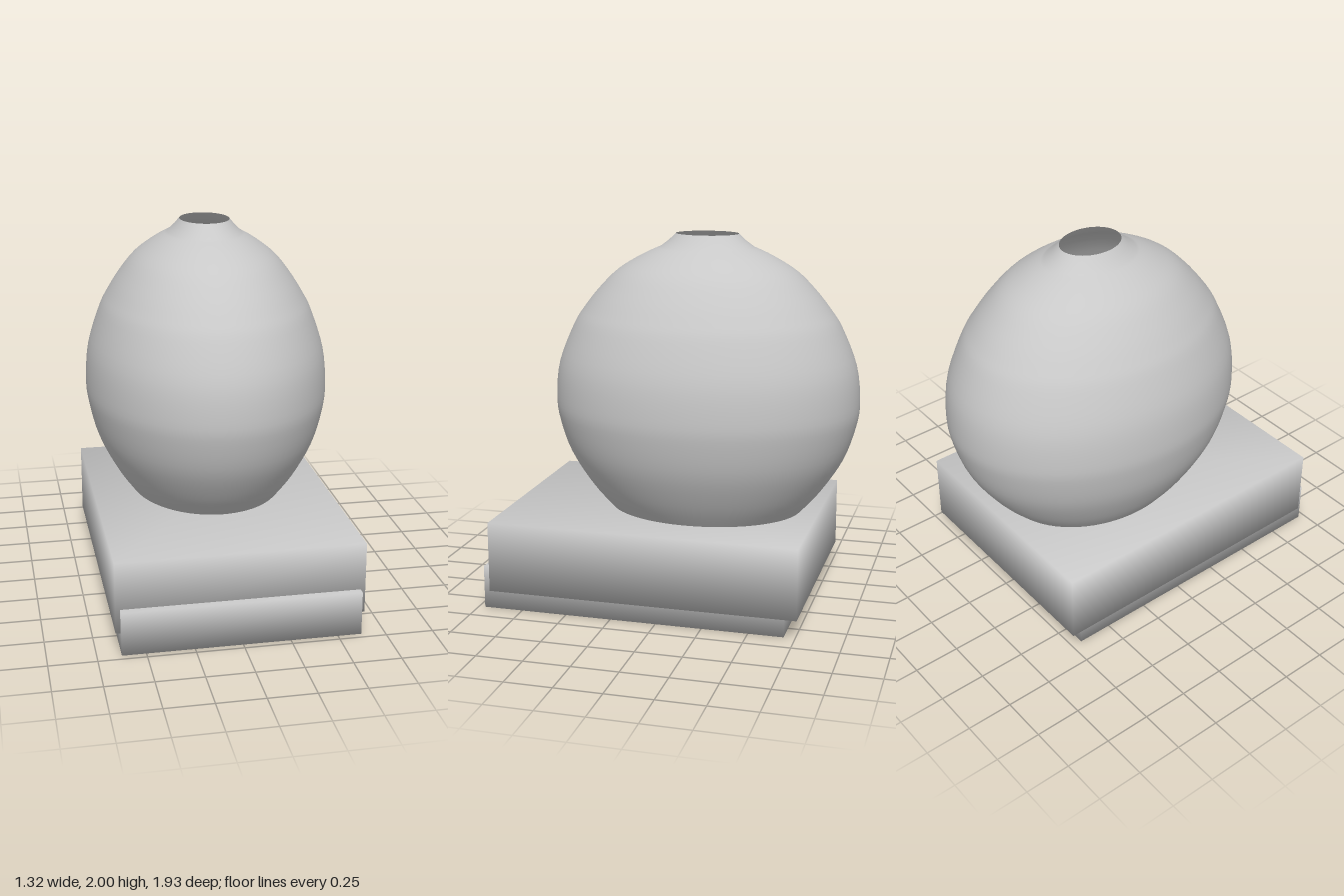
import * as THREE from 'three';
import { mergeVertices } from 'three/addons/utils/BufferGeometryUtils.js';

const grey = new THREE.MeshStandardMaterial({ color: 0xc8c8c8, side: THREE.DoubleSide });
grey.name = 'plainGrey';

// Box between two corners, with normals shared across its edges for soft shading
function softBox(name, [x0, y0, z0], [x1, y1, z1]) {
  let g = new THREE.BoxGeometry(x1 - x0, y1 - y0, z1 - z0);
  g.deleteAttribute('normal');
  g.deleteAttribute('uv');
  g = mergeVertices(g);
  g.computeVertexNormals();
  const mesh = new THREE.Mesh(g, grey);
  mesh.name = name;
  mesh.position.set((x0 + x1) / 2, (y0 + y1) / 2, (z0 + z1) / 2);
  return mesh;
}

export function createModel() {
  const model = new THREE.Group();
  model.name = 'vaseOnPlinth';

  // Two overlapping plinth slabs, the lower one stepped forward
  model.add(softBox('lowerSlab', [-0.625, 0, -0.69], [0.625, 0.235, 0.965]));
  model.add(softBox('upperSlab', [-0.65, 0.105, -0.76], [0.65, 0.49, 0.925]));

  // Egg-shaped vessel, open at the top, with an oval plan
  const profile = [
    [0.37, 0.43], [0.42, 0.49], [0.51, 0.62], [0.6, 0.8], [0.648, 0.98],
    [0.66, 1.11], [0.643, 1.3], [0.58, 1.5], [0.53, 1.6], [0.467, 1.7],
    [0.387, 1.8], [0.285, 1.88], [0.2, 1.93],
  ].map(([r, y]) => new THREE.Vector2(r, y));
  const points = new THREE.SplineCurve(profile).getPoints(48);
  points.push(new THREE.Vector2(0.165, 1.963), new THREE.Vector2(0.135, 2));
  const body = new THREE.LatheGeometry(points, 72);
  body.scale(1, 1, 0.84 / 0.66);
  const vessel = new THREE.Mesh(body, grey);
  vessel.name = 'vessel';
  vessel.position.z = -0.122;
  model.add(vessel);

  return model;
}
